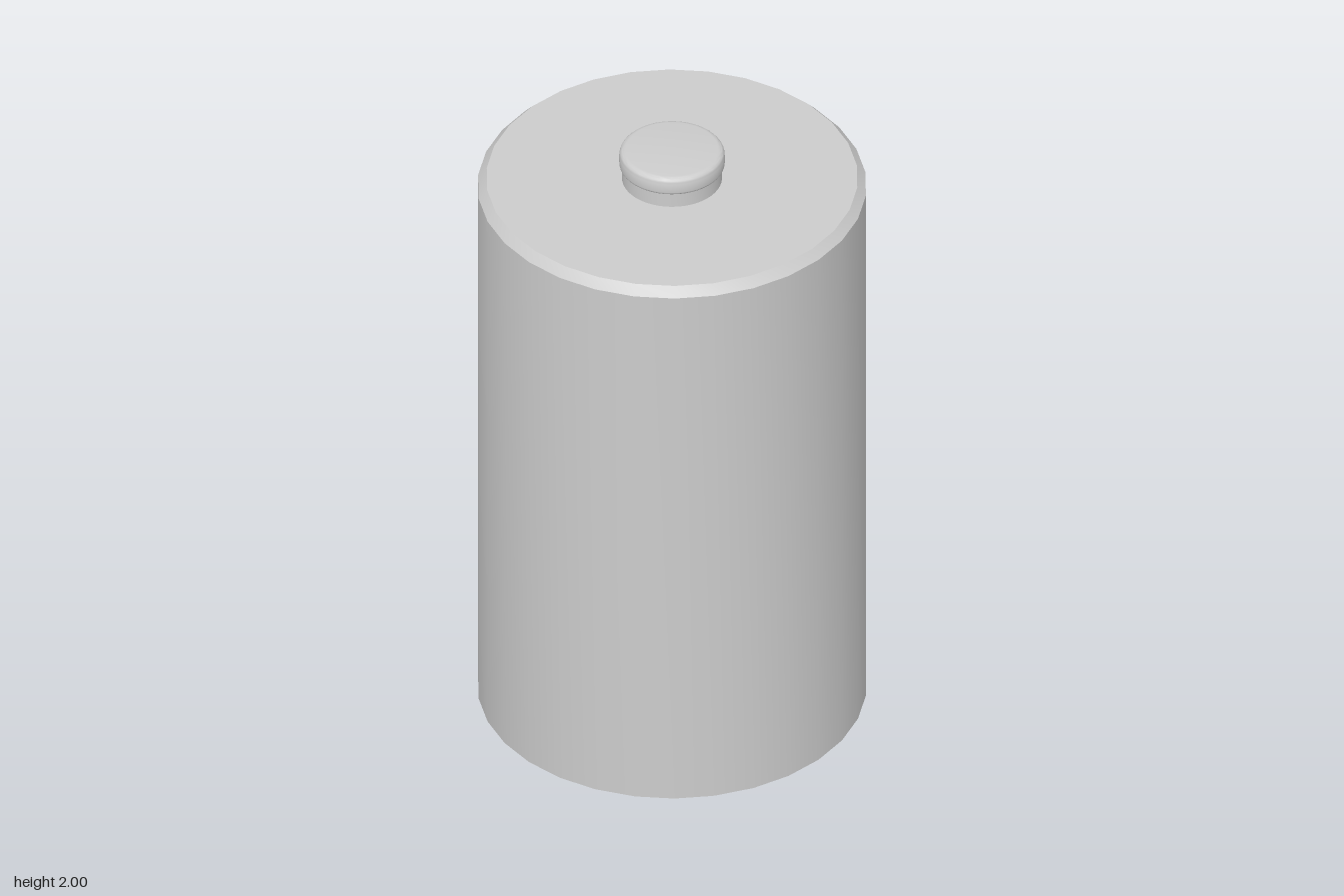
import * as THREE from 'three';
import { toCreasedNormals } from 'three/addons/utils/BufferGeometryUtils.js';

const material = new THREE.MeshStandardMaterial({ color: 0xcccccc });

// Revolve a profile of [radius, height] points, listed from bottom to top
function turned(name, profile, sides) {
  const points = profile.map(([r, y]) => new THREE.Vector2(r, y));
  const lathe = new THREE.LatheGeometry(points, sides, Math.PI / 2);
  const mesh = new THREE.Mesh(toCreasedNormals(lathe, 0.5), material);
  mesh.name = name;
  return mesh;
}

// Quarter-round profile points about a centre, from angle a0 to a1
function arc(cx, cy, r, a0, a1, steps = 5) {
  return Array.from({ length: steps + 1 }, (_, i) => {
    const a = a0 + (a1 - a0) * i / steps;
    return [cx + r * Math.cos(a), cy + r * Math.sin(a)];
  });
}

export function createModel() {
  const model = new THREE.Group();
  model.name = 'battery';

  // Casing with a chamfered top rim
  model.add(turned('casing', [[0, 0.027], [0.583, 0.027], [0.583, 1.867], [0.557, 1.895], [0, 1.895]], 30));

  // Recessed contact disc underneath
  model.add(turned('baseContact', [[0, 0], [0.546, 0], [0.546, 0.027]], 30));

  // Terminal: straight neck under a soft-edged cap
  model.add(turned('terminalNeck', [[0.15, 1.89], [0.15, 1.95]], 48));
  model.add(turned('terminalCap', [
    [0, 1.942],
    ...arc(0.148, 1.952, 0.01, -Math.PI / 2, 0),
    ...arc(0.138, 1.98, 0.02, 0, Math.PI / 2),
    [0, 2],
  ], 48));

  return model;
}
